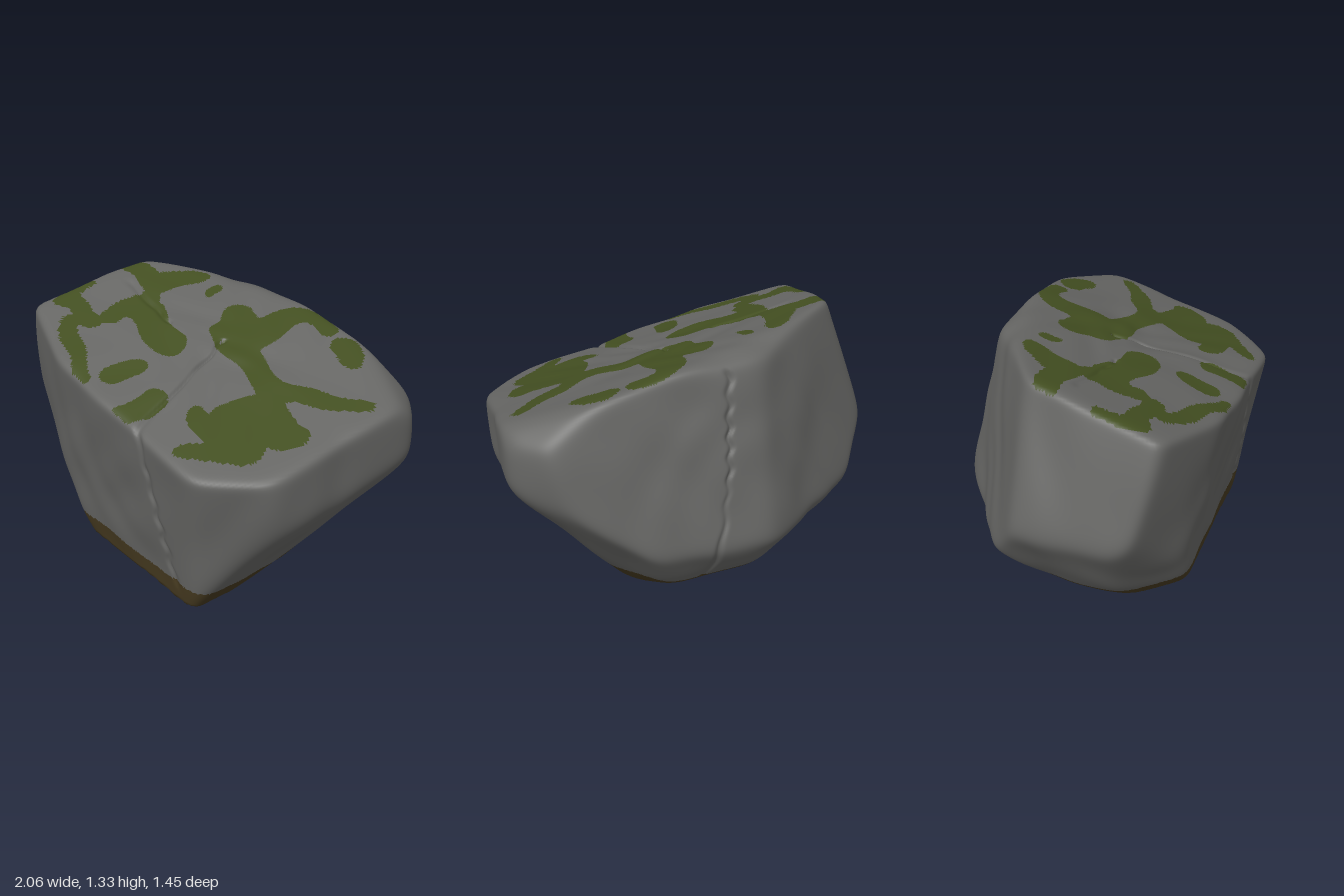
import * as THREE from 'three';
import { mergeVertices } from 'three/addons/utils/BufferGeometryUtils.js';

const CENTER = new THREE.Vector3(0, 0.6, 0);

// Broad facets of the boulder: outward direction and distance from the centre
const FACETS = [
  [0.22, 1, 0.25, 0.545], // sloping top
  [0, 0.93, -0.37, 0.765], // top, falling to the back
  [0.45, 0.8, -0.4, 0.9], // top, back left corner
  [0, 0.25, -1, 0.655], // back
  [0, -0.55, -0.84, 0.753], // back undercut
  [0, -0.9, -0.42, 0.71], // back foot
  [-0.57, 0.2, -0.82, 0.665], // back right diagonal
  [-0.5, -0.6, -0.6, 0.735], // back right undercut
  [-0.35, -0.85, -0.4, 0.73], // back right foot
  [-0.94, 0.32, 0, 0.962], // right side
  [-0.85, -0.53, 0, 0.86], // right undercut
  [-0.61, -0.79, 0, 0.822], // right foot
  [-0.6, -0.5, 0.62, 0.867], // front right undercut
  [0, -0.13, 0.99, 0.657], // front
  [-0.29, -0.05, 0.95, 0.76], // front right
  [0.98, 0, 0.06, 0.975], // left side
  [0.81, -0.587, 0, 0.828], // left undercut
  [0.7, -0.2, 0.7, 0.945], // front left corner
  [0.65, 0, -0.76, 0.985], // back left corner
  [0.55, -0.6, -0.55, 0.765], // back left undercut
  [0.747, -0.644, -0.17, 0.768], // lower left, turning to the back
].map(([x, y, z, h]) => new THREE.Vector3(x, y, z).divideScalar(h));

// Cracks: a few points along each
const CRACKS = [
  [[0.08, 1.1, 0], [0.2, 1, 0.35], [0.3, 0.9, 0.69], [0.38, 0.6, 0.68], [0.47, 0.1, 0.6]],
  [[-0.05, 1.18, -0.52], [-0.02, 0.7, -0.63], [0.1, 0.1, -0.55]],
  [[-0.55, 1.2, 0.09], [-0.2, 1.13, 0.12]],
].map((pts) => pts.map((p) => new THREE.Vector3(...p).sub(CENTER).normalize()));

// Moss strokes seen from above: x, z to x, z, and half width
const MOSS = [
  [0.22, -0.43, 0.4, -0.45, 0.05],
  [0.2, -0.38, 0.17, -0.1, 0.075],
  [0.0, -0.15, 0.14, -0.13, 0.09],
  [0.02, -0.03, 0.55, 0.04, 0.065],
  [0.62, 0, 0.92, -0.2, 0.045],
  [0.57, 0.19, 0.82, 0.18, 0.09],
  [0.57, 0.3, 0.7, 0.38, 0.11],
  [0.42, 0.43, 0.64, 0.46, 0.05],
  [0.58, 0.6, 0.67, 0.5, 0.055],
  [0.55, -0.43, 0.63, -0.38, 0.065],
  [-0.75, 0.0, -0.52, -0.01, 0.06],
  [-0.5, -0.08, -0.43, -0.2, 0.07],
  [-0.25, -0.23, -0.25, -0.18, 0.03],
  [-0.47, 0.1, -0.47, 0.32, 0.055],
  [-0.36, 0.18, -0.09, 0.23, 0.09],
  [-0.79, 0.27, -0.77, 0.46, 0.045],
  [-0.72, 0.43, -0.52, 0.42, 0.05],
  [-0.6, 0.52, -0.2, 0.69, 0.045],
  [-0.05, 0.47, -0.09, 0.58, 0.06],
  [0.19, 0.51, 0.17, 0.7, 0.065],
];

// Dark patch under the base
const HOLLOW = [
  [0.16, 0.07, 0.18, 0.3, 0.1],
  [-0.2, 0.44, 0.24, 0.44, 0.1],
];

// Strokes swell and merge where they come close
function covered(strokes, x, z) {
  const u = x + 0.015 * Math.sin(17 * z + 5 * x), v = z + 0.015 * Math.sin(19 * x + 2);
  let field = 0;
  for (const [ax, az, bx, bz, r] of strokes) {
    const dx = bx - ax, dz = bz - az;
    const t = THREE.MathUtils.clamp(((u - ax) * dx + (v - az) * dz) / (dx * dx + dz * dz), 0, 1);
    field += (r / Math.hypot(u - ax - t * dx, v - az - t * dz)) ** 4;
  }
  return field > 0.85;
}

// Gentle lumps over the whole stone
function lumps({ x, y, z }) {
  return 0.007 * Math.sin(5 * x + 3 * Math.sin(4 * z)) * Math.sin(6 * y + 2 * z + 1)
    + 0.005 * Math.sin(11 * x - 4 * y + 2 * Math.sin(7 * z)) * Math.sin(9 * z + 8 * y);
}

// Depth of the nearest crack, with a wandering line
const segment = new THREE.Line3(), near = new THREE.Vector3(), wander = new THREE.Vector3();
function groove(d) {
  wander.set(d.x + 0.012 * Math.sin(31 * (d.y + d.z)), d.y + 0.01 * Math.sin(35 * d.x), d.z + 0.01 * Math.sin(35 * d.x));
  let gap = 1;
  for (const pts of CRACKS) {
    for (let i = 1; i < pts.length; i++) {
      segment.set(pts[i - 1], pts[i]).closestPointToPoint(wander, true, near);
      gap = Math.min(gap, near.normalize().distanceTo(wander));
    }
  }
  return 0.018 * Math.exp(-((gap / 0.02) ** 2));
}

// Rounded intersection of the facets, cut flat at the base
function radius(d) {
  let sum = 0;
  for (const f of FACETS) sum += Math.max(f.dot(d), 0) ** 36;
  const r = 1.018 * sum ** (-1 / 36) + lumps(d) - groove(d);
  return d.y < 0 ? Math.min(r, -CENTER.y / d.y) : r;
}

function boulderGeometry() {
  const ball = new THREE.IcosahedronGeometry(1, 84);
  ball.deleteAttribute('normal');
  ball.deleteAttribute('uv');
  const geo = mergeVertices(ball, 1e-4);
  const pos = geo.attributes.position, d = new THREE.Vector3();
  for (let i = 0; i < pos.count; i++) {
    d.fromBufferAttribute(pos, i).normalize();
    d.multiplyScalar(radius(d)).add(CENTER);
    pos.setXYZ(i, d.x, d.y, d.z);
  }
  geo.computeVertexNormals();
  return geo;
}

export function createModel() {
  const group = new THREE.Group();
  group.name = 'mossyBoulder';
  const colors = { stone: 0x666664, moss: 0x434f21, soil: 0x463a20, hollow: 0x0c0c0c };
  const faces = { stone: [], moss: [], soil: [], hollow: [] };
  const geo = boulderGeometry();
  const { position, normal } = geo.attributes;
  const index = geo.index.array;

  // Sort the faces into stone, moss, soil and the dark underside
  for (let i = 0; i < index.length; i += 3) {
    const corners = [index[i], index[i + 1], index[i + 2]];
    const [x, y, z] = ['getX', 'getY', 'getZ'].map((get) => corners.reduce((s, c) => s + position[get](c), 0) / 3);
    let part = 'stone';
    if (y < 0.105 + 0.008 * Math.sin(9 * x + 5 * z)) {
      part = y < 0.01 && covered(HOLLOW, x, z) ? 'hollow' : 'soil';
    } else if (y > 0.7 && normal.getY(corners[0]) > 0.6 && covered(MOSS, x, z)) part = 'moss';
    faces[part].push(...corners);
  }

  for (const part in faces) {
    const surface = new THREE.BufferGeometry();
    surface.setAttribute('position', position);
    surface.setAttribute('normal', normal);
    surface.setIndex(faces[part]);
    const material = new THREE.MeshStandardMaterial({ color: colors[part] });
    material.name = part;
    const mesh = new THREE.Mesh(surface, material);
    mesh.name = part;
    group.add(mesh);
  }
  return group;
}
